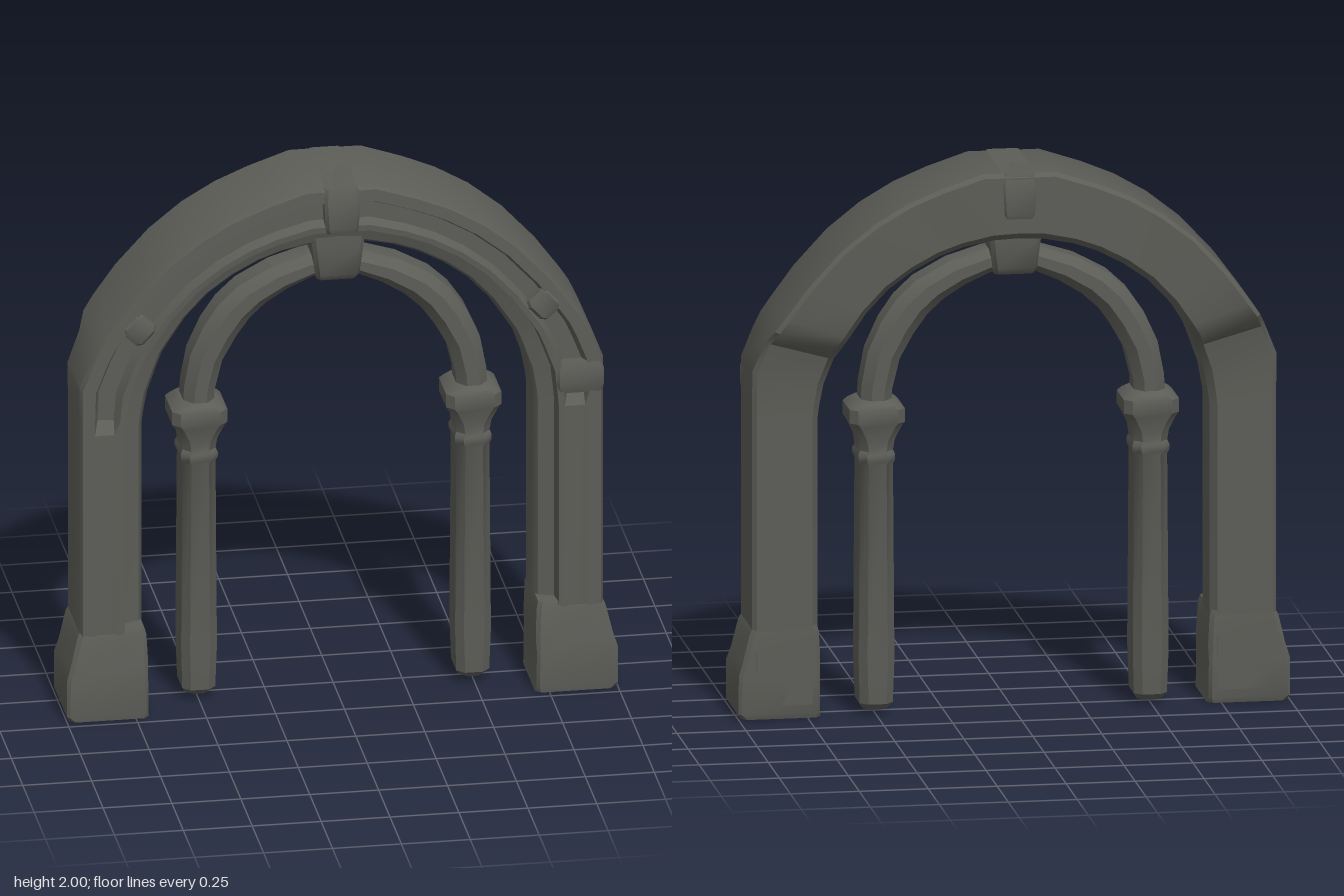
import * as THREE from 'three';
import { toCreasedNormals } from 'three/addons/utils/BufferGeometryUtils.js';

const stone = new THREE.MeshStandardMaterial({ color: 0x5c5d57 });
stone.name = 'dark stone';

// Skin a list of equal-length rings (counter-clockwise about the path) and cap both ends
function loft(rings, crease = 0.6) {
  const n = rings[0].length, index = [];
  for (let i = 0; i < rings.length - 1; i++) {
    for (let j = 0; j < n; j++) {
      const k = (j + 1) % n, a = i * n + j, b = i * n + k;
      index.push(a, b, b + n, a, b + n, a + n);
    }
  }
  const last = (rings.length - 1) * n;
  for (let j = 1; j < n - 1; j++) {
    index.push(0, j + 1, j, last, last + j, last + j + 1);
  }
  const g = new THREE.BufferGeometry();
  g.setAttribute('position', new THREE.Float32BufferAttribute(rings.flat(2), 3));
  g.setIndex(index);
  return toCreasedNormals(g, crease);
}

// Bevelled rectangle lying flat at height y
function block(cx, y, cz, hw, hd, b) {
  return [[-hw + b, hd], [hw - b, hd], [hw, hd - b], [hw, -hd + b],
    [hw - b, -hd], [-hw + b, -hd], [-hw, -hd + b], [-hw, hd - b]]
    .map(([x, z]) => [cx + x, y, cz + z]);
}

// Sweep a section over an arch; half = [outer x, outer y, inner x, inner y, ...extras], foot to crown
function arch(half, section) {
  const left = half.map(([a, b, c, d, ...e]) => [-a, b, -c, d, ...e]);
  const path = left.concat(half.slice(0, -1).reverse());
  return loft(path.map(([ox, oy, ix, iy, ...extra]) =>
    section(...extra).map(([t, z]) => [ox + (ix - ox) * t, oy + (iy - oy) * t, z])));
}

export function createModel() {
  const group = new THREE.Group();
  const add = (name, geometry) => {
    const mesh = new THREE.Mesh(geometry, stone);
    mesh.name = name;
    group.add(mesh);
    return mesh;
  };

  // Outer arch: extras are groove amount and back depth
  const outer = [
    [0.95, 0.05, 0.71, 0.05, 0, 0.092],
    [0.95, 1.1, 0.71, 1.1, 0, 0.092],
    [0.95, 1.15, 0.705, 1.14, 1, 0.092],
    [0.95, 1.28, 0.69, 1.22, 1, 0.095],
    [0.905, 1.39, 0.655, 1.32, 1, 0.115],
    [0.88, 1.44, 0.635, 1.37, 1, 0.175],
    [0.845, 1.49, 0.61, 1.41, 1, 0.19],
    [0.76, 1.605, 0.55, 1.5, 1, 0.195],
    [0.64, 1.735, 0.47, 1.585, 1, 0.197],
    [0.52, 1.83, 0.38, 1.65, 1, 0.2],
    [0.4, 1.9, 0.285, 1.7, 1, 0.2],
    [0.28, 1.95, 0.2, 1.73, 1, 0.202],
    [0.13, 2.0, 0.09, 1.752, 1, 0.205],
    [0, 2.0, 0, 1.757, 1, 0.207],
  ];
  add('outerArch', arch(outer, (groove, back) => [
    [0, 0.175], [0.04, 0.195], [0.22, 0.197],
    [0.28, 0.195 - 0.035 * groove], [0.52, 0.195 - 0.035 * groove],
    [0.59, 0.197], [0.68, 0.195], [0.71, 0.135], [0.94, 0.115], [1, 0.09],
    [1, -back + 0.03], [0.9, -back], [0.06, -back], [0, -back + 0.015],
  ]));

  // Slender inner arch with a rounded section
  const inner = [
    [0.555, 1.1, 0.44, 1.1], [0.548, 1.21, 0.437, 1.19],
    [0.525, 1.33, 0.41, 1.3], [0.475, 1.44, 0.36, 1.39],
    [0.42, 1.52, 0.31, 1.46], [0.35, 1.585, 0.25, 1.515],
    [0.23, 1.65, 0.17, 1.565], [0.1, 1.69, 0.08, 1.605], [0, 1.7, 0, 1.61],
  ];
  add('innerArch', arch(inner, () => [
    [0, 0.045], [0.3, 0.085], [0.7, 0.085], [1, 0.045],
    [1, -0.045], [0.7, -0.085], [0.3, -0.085], [0, -0.045],
  ]));

  // Crown block on the outer arch and keystone joining both arches
  add('crownBlock', loft([
    block(0, 1.83, 0, 0.055, 0.205, 0.012),
    block(0, 1.85, 0, 0.06, 0.213, 0.012),
    block(0, 1.96, 0, 0.066, 0.213, 0.012),
    block(0, 2.0, 0, 0.06, 0.2, 0.012),
  ]));
  add('keystone', loft([
    block(0, 1.605, 0, 0.072, 0.09, 0.015),
    block(0, 1.63, 0, 0.08, 0.11, 0.015),
    block(0, 1.74, 0, 0.093, 0.12, 0.015),
    block(0, 1.83, 0, 0.105, 0.12, 0.015),
  ]));

  for (const side of [-1, 1]) {
    const name = side > 0 ? 'left' : 'right';

    // Flared plinth, its inner face nearly upright
    add(name + 'Plinth', loft([
      [0, 0.845, 0.065, 0.145, 0.15, 0.02],
      [0.02, 0.852, 0.063, 0.148, 0.155, 0.01],
      [0.16, 0.852, 0.063, 0.147, 0.155, 0.012],
      [0.21, 0.843, 0.059, 0.14, 0.15, 0.015],
      [0.315, 0.833, 0.053, 0.125, 0.146, 0.015],
      [0.34, 0.83, 0.05, 0.115, 0.14, 0.015],
    ].map(([y, x, z, w, d, b]) => block(side * x, y, z, w, d, b))));

    // Column with neck band and capital: height, half width, half depth
    add(name + 'Column', loft([
      [0.015, 0.045, 0.06], [0.04, 0.06, 0.085], [0.2, 0.065, 0.092],
      [0.92, 0.06, 0.09], [0.935, 0.067, 0.097], [0.955, 0.067, 0.097],
      [0.97, 0.06, 0.09], [1.01, 0.066, 0.094], [1.06, 0.09, 0.102],
      [1.075, 0.1, 0.108], [1.125, 0.1, 0.108], [1.14, 0.085, 0.1],
      [1.155, 0.06, 0.085],
    ].map(([y, w, d]) => block(side * 0.497, y, 0, w, d, 0.028))));

    // Small boss where the arch mouldings meet
    const boss = add(name + 'Boss', loft([
      block(0, -0.05, 0, 0.04, 0.03, 0.012),
      block(0, -0.03, 0, 0.05, 0.04, 0.012),
      block(0, 0.03, 0, 0.05, 0.04, 0.012),
      block(0, 0.05, 0, 0.04, 0.03, 0.012),
    ]));
    boss.position.set(side * 0.735, 1.5, 0.163);
    boss.rotation.z = side * 0.75;
  }

  // Impost block ending the moulding on one leg
  add('impost', loft([
    block(0.865, 1.15, 0.15, 0.08, 0.045, 0.01),
    block(0.865, 1.18, 0.15, 0.086, 0.055, 0.01),
    block(0.865, 1.24, 0.15, 0.086, 0.055, 0.01),
    block(0.865, 1.27, 0.15, 0.075, 0.045, 0.01),
  ]));

  return group;
}
